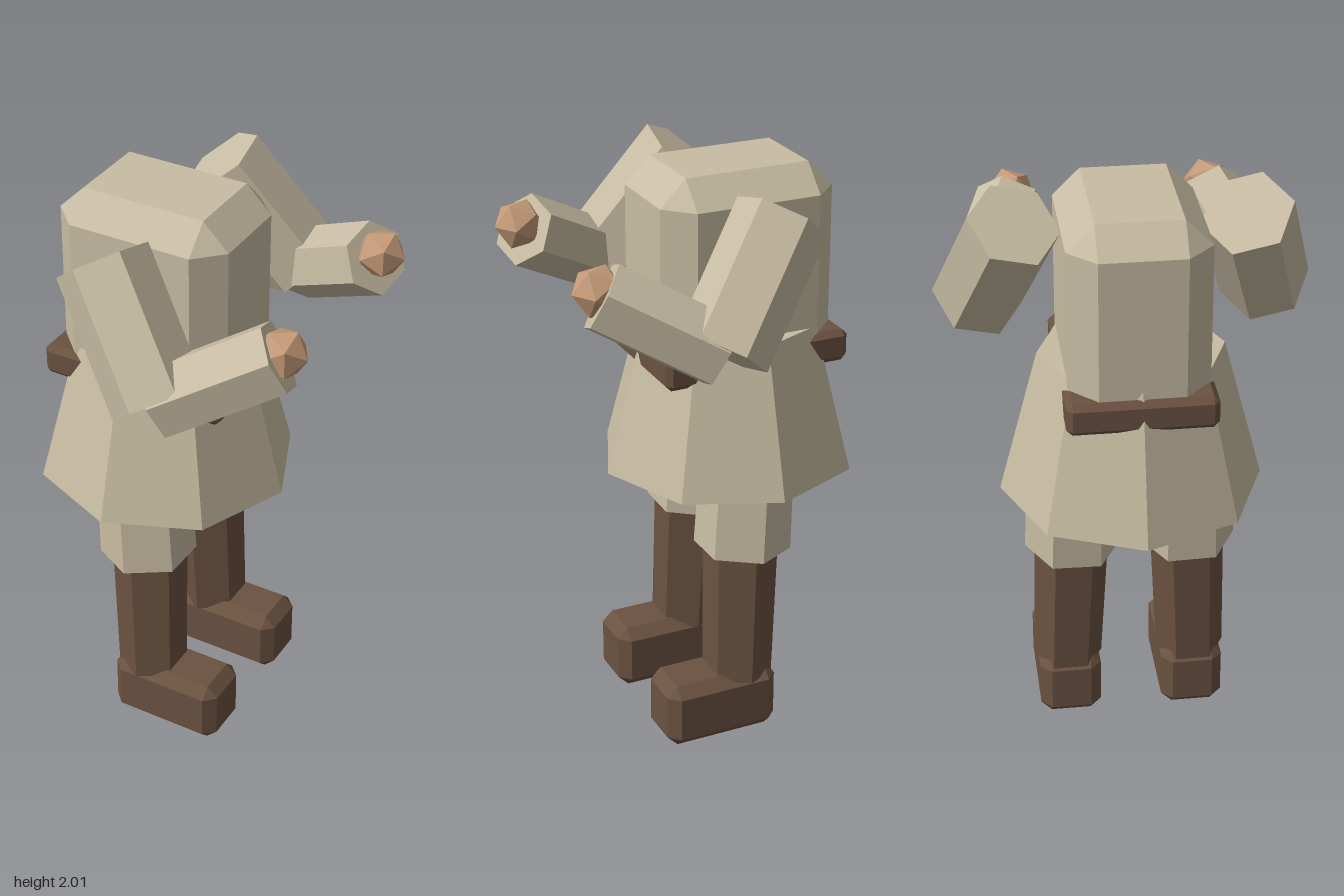
import * as THREE from 'three';
import { ConvexGeometry } from 'three/addons/geometries/ConvexGeometry.js';

const material = (name, color) => {
  const m = new THREE.MeshStandardMaterial({ color, flatShading: true });
  m.name = name;
  return m;
};

// Box with every edge cut by c, given by its lower and upper corners
function chamferedBox(min, max, c) {
  const mid = min.map((v, i) => (v + max[i]) / 2);
  const half = min.map((v, i) => (max[i] - v) / 2);
  const points = [];
  for (const sx of [-1, 1]) for (const sy of [-1, 1]) for (const sz of [-1, 1]) {
    for (let full = 0; full < 3; full++) {
      const p = [sx, sy, sz].map((s, i) => mid[i] + s * (half[i] - (i === full ? 0 : c)));
      points.push(new THREE.Vector3(...p));
    }
  }
  return new ConvexGeometry(points);
}

export function createModel() {
  const model = new THREE.Group();
  model.name = 'figure';
  const cloth = material('beige cloth', 0xc8bda3);
  const leather = material('brown leather', 0x6b5241);
  const skin = material('skin', 0xc49a78);

  const add = (parent, name, geometry, mat) => {
    const mesh = new THREE.Mesh(geometry, mat);
    mesh.name = name;
    parent.add(mesh);
    return mesh;
  };

  // Six-sided limb section running from point a up to point b
  const limb = (parent, name, a, b, ra, rb, mat) => {
    const from = new THREE.Vector3(...a), to = new THREE.Vector3(...b);
    const dir = to.clone().sub(from);
    const mesh = add(parent, name, new THREE.CylinderGeometry(rb, ra, dir.length(), 6), mat);
    mesh.position.copy(from).add(to).multiplyScalar(0.5);
    mesh.quaternion.setFromUnitVectors(new THREE.Vector3(0, 1, 0), dir.normalize());
  };

  // Body
  add(model, 'torso', chamferedBox([-0.43, 1.34, -0.23], [0.185, 2, 0.23], 0.09), cloth);
  add(model, 'belt', chamferedBox([-0.455, 1.32, -0.245], [0.207, 1.432, 0.245], 0.02), leather);
  const skirt = add(model, 'skirt', new THREE.CylinderGeometry(0.31, 0.443, 0.505, 8), cloth);
  skirt.position.set(-0.122, 1.2025, 0);

  for (const s of [1, -1]) {
    // Bent arm with a faceted fist
    const arm = new THREE.Group();
    arm.name = s > 0 ? 'frontArm' : 'backArm';
    model.add(arm);
    const elbow = [0.13, 1.545, 0.483 * s];
    limb(arm, 'upperArm', elbow, [-0.13, 1.915, 0.37 * s], 0.153, 0.153, cloth);
    limb(arm, 'forearm', elbow, [0.468, 1.735, 0.336 * s], 0.123, 0.123, cloth);
    const hand = add(arm, 'hand', new THREE.IcosahedronGeometry(0.086, 0), skin);
    hand.position.set(0.482, 1.755, 0.34 * s);
    hand.rotation.y = 0.553;

    // Leg with a tall boot
    const leg = new THREE.Group();
    leg.name = s > 0 ? 'frontLeg' : 'backLeg';
    model.add(leg);
    limb(leg, 'thigh', [-0.088, 0.685, 0.198 * s], [-0.113, 1.1, 0.189 * s], 0.166, 0.157, cloth);
    limb(leg, 'bootShaft', [-0.063, 0.205, 0.219 * s], [-0.08, 0.72, 0.201 * s], 0.12, 0.129, leather);
    const z = 0.217 * s;
    add(leg, 'shoe', chamferedBox([-0.175, 0, z - 0.108], [0.236, 0.235, z + 0.108], 0.038), leather);
  }
  return model;
}
